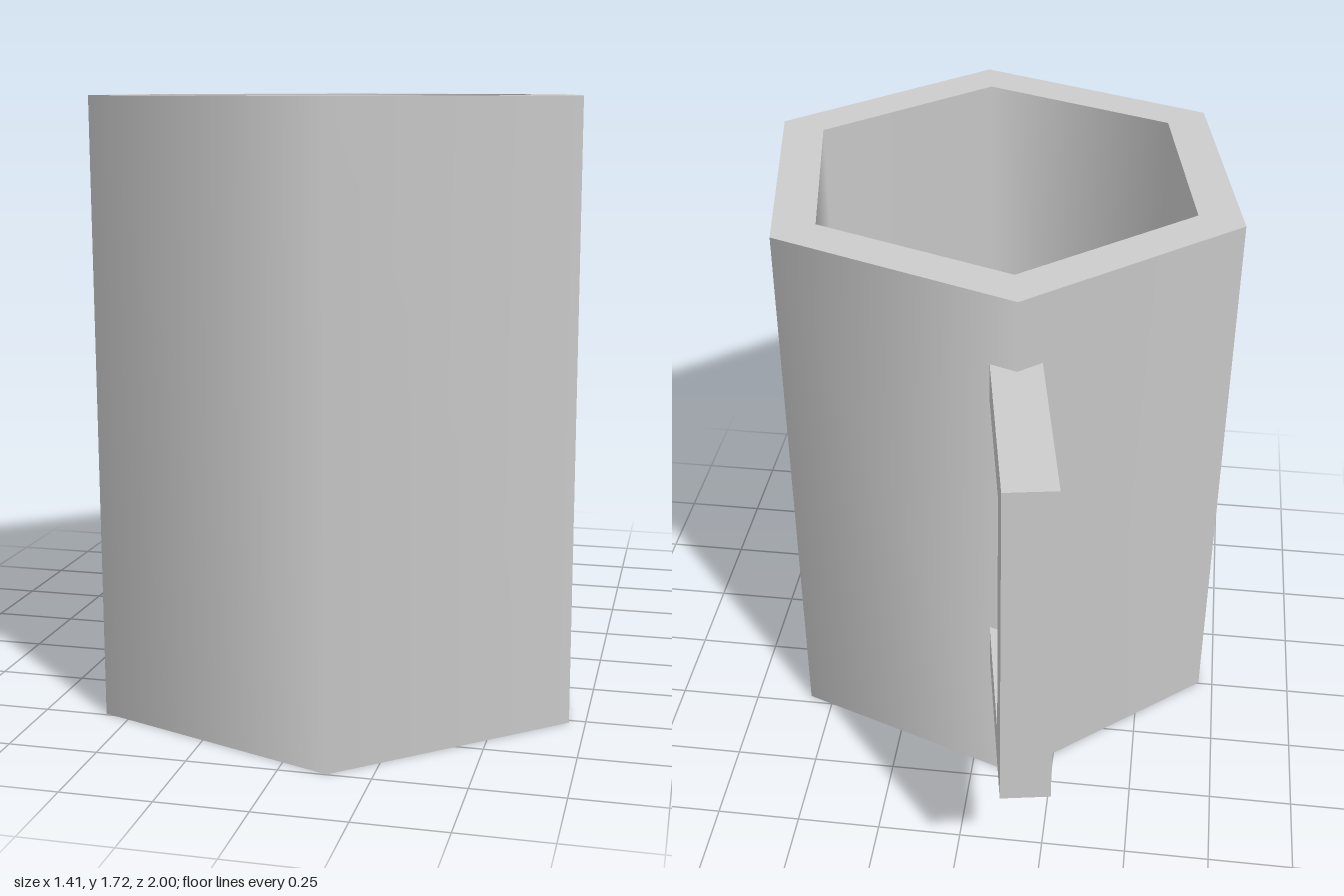
import * as THREE from 'three';

const SIDES = 6;
const TURN = THREE.MathUtils.degToRad(10);
const OUTER = 0.75, INNER = 0.61, HEIGHT = 1.72, FLOOR = 0.14;

export function createModel() {
  const model = new THREE.Group();
  model.name = 'mug';
  const grey = new THREE.MeshStandardMaterial({ color: 0xcccccc });
  grey.name = 'light grey';

  // Six-sided bands, smooth around the axis and sharp where they meet
  const cup = new THREE.Group();
  cup.name = 'cup';
  cup.position.z = 0.26;
  model.add(cup);
  const band = (name, r0, y0, r1, y1) => {
    const profile = [new THREE.Vector2(r0, y0), new THREE.Vector2(r1, y1)];
    const mesh = new THREE.Mesh(new THREE.LatheGeometry(profile, SIDES, TURN), grey);
    mesh.name = name;
    cup.add(mesh);
  };
  band('base', 0, 0, OUTER, 0);
  band('outerWall', OUTER, 0, OUTER, HEIGHT);
  band('rim', OUTER, HEIGHT, INNER, HEIGHT);
  band('innerWall', INNER, HEIGHT, INNER, FLOOR);
  band('innerFloor', INNER, FLOOR, 0, FLOOR);

  // Square C-shaped handle, running out from one corner of the cup
  const outline = [
    [0.66, 0.46], [1.268, 0.46], [1.268, 1.51], [0.66, 1.51],
    [0.66, 1.39], [1.13, 1.39], [1.13, 0.585], [0.66, 0.585],
  ].map(([x, y]) => new THREE.Vector2(x, y));
  const width = 0.14;
  const handleGeometry = new THREE.ExtrudeGeometry(new THREE.Shape(outline), {
    depth: width, bevelEnabled: false,
  });
  handleGeometry.translate(0, 0, -width / 2);
  const handle = new THREE.Mesh(handleGeometry, grey);
  handle.name = 'handle';
  handle.rotation.y = Math.PI / 2 + TURN;
  cup.add(handle);

  return model;
}
